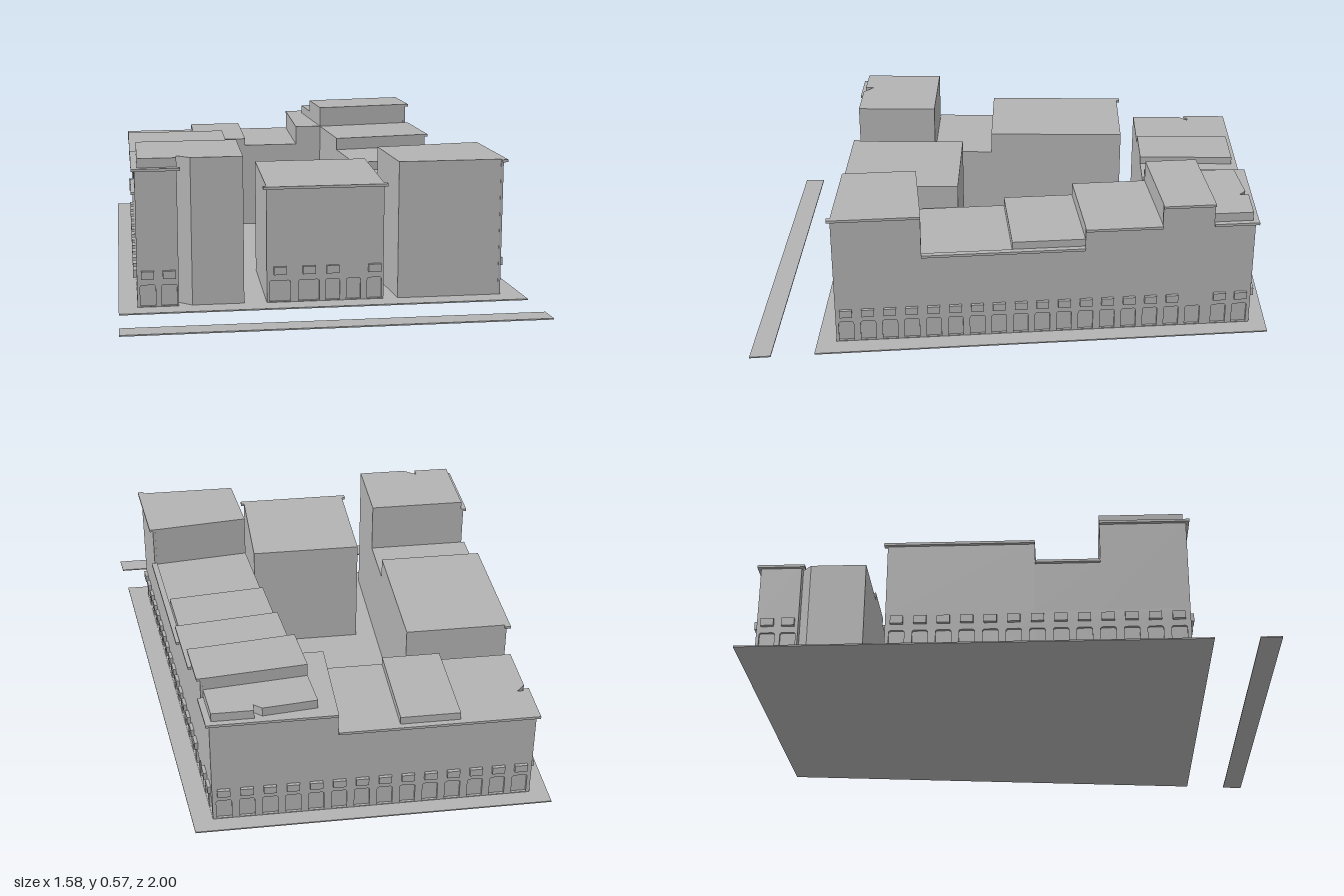
import * as THREE from 'three';

const stone = new THREE.MeshStandardMaterial({ color: 0xb3b3b3 });
stone.name = 'pale grey';

const T = 0.01;          // facade thickness
const GROUND_FLOOR = 0.16;

// Vertical prism over a plan outline of [x, z] points
function prism(parent, name, outline, y0, y1) {
  const shape = new THREE.Shape(outline.map(([x, z]) => new THREE.Vector2(x, -z)));
  const geo = new THREE.ExtrudeGeometry(shape, { depth: y1 - y0, bevelEnabled: false });
  geo.rotateX(-Math.PI / 2);
  const mesh = new THREE.Mesh(geo, stone);
  mesh.name = name;
  mesh.position.y = y0;
  parent.add(mesh);
}

const rect = (x0, x1, z0, z1) => [[x0, z0], [x1, z0], [x1, z1], [x0, z1]];

// Round-cornered doorway, used as a hole
function archPath(c, w) {
  const p = new THREE.Path(), l = c - w / 2, r = c + w / 2, top = 0.09, k = 0.009;
  p.moveTo(l, 0.008);
  p.lineTo(r, 0.008);
  p.lineTo(r, top - k);
  p.quadraticCurveTo(r, top, r - k, top);
  p.lineTo(l + k, top);
  p.quadraticCurveTo(l, top, l, top - k);
  p.closePath();
  return p;
}

// Street front from a to b (left to right seen from outside):
// arcade below, window boxes above it, then upper walls [from, to, height] with cornices
function facade(parent, name, a, b, arches, windows, walls) {
  const A = new THREE.Vector3(a[0], 0, a[1]), B = new THREE.Vector3(b[0], 0, b[1]);
  const length = A.distanceTo(B);
  const u = B.clone().sub(A).normalize(), up = new THREE.Vector3(0, 1, 0);
  const n = u.clone().cross(up);
  const group = new THREE.Group();
  group.name = name;
  group.setRotationFromMatrix(new THREE.Matrix4().makeBasis(u, up, n));
  group.position.copy(A);
  parent.add(group);

  const s = new THREE.Shape();
  s.moveTo(0, 0);
  s.lineTo(length, 0);
  s.lineTo(length, GROUND_FLOOR);
  s.lineTo(0, GROUND_FLOOR);
  for (const [c, w] of arches) s.holes.push(archPath(c, w));
  const arcade = new THREE.Mesh(
    new THREE.ExtrudeGeometry(s, { depth: T, bevelEnabled: false, curveSegments: 3 }), stone);
  arcade.name = 'arcade';
  arcade.position.z = -T;
  group.add(arcade);

  const box = (label, x0, x1, y0, y1, z0, z1) => {
    const m = new THREE.Mesh(new THREE.BoxGeometry(x1 - x0, y1 - y0, z1 - z0), stone);
    m.name = label;
    m.position.set((x0 + x1) / 2, (y0 + y1) / 2, (z0 + z1) / 2);
    group.add(m);
  };
  for (const c of windows) box('windowBox', c - 0.024, c + 0.024, 0.115, 0.145, -0.002, 0.013);
  for (const [t0, t1, h] of walls) {
    const x0 = t0 * length, x1 = t1 * length;
    box('upperWall', x0, x1, GROUND_FLOOR, h, -T, 0);
    box('cornice', x0 - (t0 === 0 ? 0.013 : 0), x1 + (t1 === 1 ? 0.013 : 0), h - 0.01, h, -T, 0.013);
  }
}

// n evenly spaced distances along a front
const even = (length, n) => Array.from({ length: n }, (_, i) => (i + 0.5) * length / n);
const wide = (list, w = 0.058) => list.map(c => [c, w]);

export function createModel() {
  const model = new THREE.Group();
  model.name = 'cityBlock';

  // Pavements
  prism(model, 'pavement', [[-0.79, -1], [0.56, -1], [0.755, 0.755], [-0.79, 0.755]], 0, 0.005);
  prism(model, 'farPavement', [[-0.79, 0.92], [0.775, 0.92], [0.785, 1], [-0.79, 1]], 0, 0.005);

  // West row
  const west = new THREE.Group();
  west.name = 'westRow';
  model.add(west);
  prism(west, 'cornerTower', [[-0.71, 0.35], [-0.32, 0.35], [-0.32, 0.675], [-0.515, 0.675],
    [-0.565, 0.635], [-0.565, 0.67], [-0.71, 0.67]], 0, 0.57);
  prism(west, 'lowHouse', rect(-0.71, -0.32, 0.105, 0.35), 0, 0.37);
  prism(west, 'longHouse', rect(-0.71, -0.32, -0.455, 0.105), 0, 0.455);
  const westDoors = even(1.135, 13);
  facade(west, 'westFront', [-0.72, -0.455], [-0.72, 0.68], wide(westDoors), westDoors,
    [[0, 0.493, 0.455], [0.493, 0.71, 0.37], [0.71, 1, 0.535]]);
  facade(west, 'towerFront', [-0.72, 0.68], [-0.565, 0.68], wide([0.04, 0.12]), [0.04, 0.12],
    [[0, 1, 0.535]]);

  // Middle house on the front street
  const middle = new THREE.Group();
  middle.name = 'middleHouse';
  model.add(middle);
  prism(middle, 'middleBody', rect(-0.235, 0.21, 0.225, 0.67), 0, 0.455);
  facade(middle, 'middleFront', [-0.235, 0.68], [0.21, 0.68],
    [[0.05, 0.08], [0.16, 0.08], [0.25, 0.055], [0.33, 0.055], [0.41, 0.055]],
    [0.05, 0.16, 0.25, 0.41], [[0, 1, 0.455]]);

  // Slanted east row
  const east = new THREE.Group();
  east.name = 'eastRow';
  model.add(east);
  const slope = (0.665 - 0.49) / 1.615;
  const right = z => [0.665 - T + (z - 0.68) * slope, z];
  const left = z => [0.265 + (z - 0.68) * 0.1115, z];
  const cutsR = [0.68, 0.345, 0, -0.28, -0.575, -0.775];
  const cutsL = [0.68, 0.39, 0.04, -0.235, -0.53, -0.735];
  [0.535, 0.365, 0.4, 0.45, 0.535].forEach((h, i) => prism(east, 'eastHouse' + (i + 1),
    [left(cutsL[i]), right(cutsR[i]), right(cutsR[i + 1]), left(cutsL[i + 1])], 0, h));
  prism(east, 'eastCorner', [left(-0.735), right(-0.775), right(-0.925), [0.09, -0.925]], 0, 0.45);
  prism(east, 'eastCornerAttic', [left(-0.735), right(-0.775), right(-0.925), [0.325, -0.925],
    [0.325, -0.89], [0.295, -0.915], [0.09, -0.893]], 0.45, 0.485);
  const stretch = Math.hypot(1, slope);
  const eastDoors = Array.from({ length: 17 }, (_, k) => 0.64 - 0.0842 * k).concat(-0.81, -0.893)
    .map(z => (0.68 - z) * stretch);
  const t = z => (0.68 - z) / 1.615;
  facade(east, 'eastFront', [0.665, 0.68], [0.49, -0.935], wide(eastDoors),
    eastDoors.filter((_, k) => k !== 16),
    [[0, t(0.345), 0.535], [t(0.345), t(-0.28), 0.37], [t(-0.28), t(-0.575), 0.45],
      [t(-0.575), t(-0.775), 0.535], [t(-0.775), 1, 0.45]]);

  // Back row
  const back = new THREE.Group();
  back.name = 'backRow';
  model.add(back);
  prism(back, 'backLowHouse', [[-0.71, -0.925], [0.02, -0.925], [0.02, -0.535], [-0.72, -0.535],
    [-0.72, -0.745], [-0.685, -0.78], [-0.71, -0.78]], 0, 0.37);
  prism(back, 'penthouse', rect(-0.435, -0.21, -0.925, -0.535), 0.37, 0.4);
  prism(back, 'backTallHouse', [[0.02, -0.925], [0.1, -0.925], left(-0.535), [0.02, -0.535]], 0, 0.45);
  const backDoors = even(1.21, 14);
  facade(back, 'backFront', [0.49, -0.935], [-0.72, -0.935], wide(backDoors), backDoors,
    [[0, 0.388, 0.45], [0.388, 1, 0.37]]);
  facade(back, 'backCornerFront', [-0.72, -0.935], [-0.72, -0.78], wide([0.04, 0.118]), [0.04, 0.118],
    [[0, 1, 0.37]]);

  return model;
}
